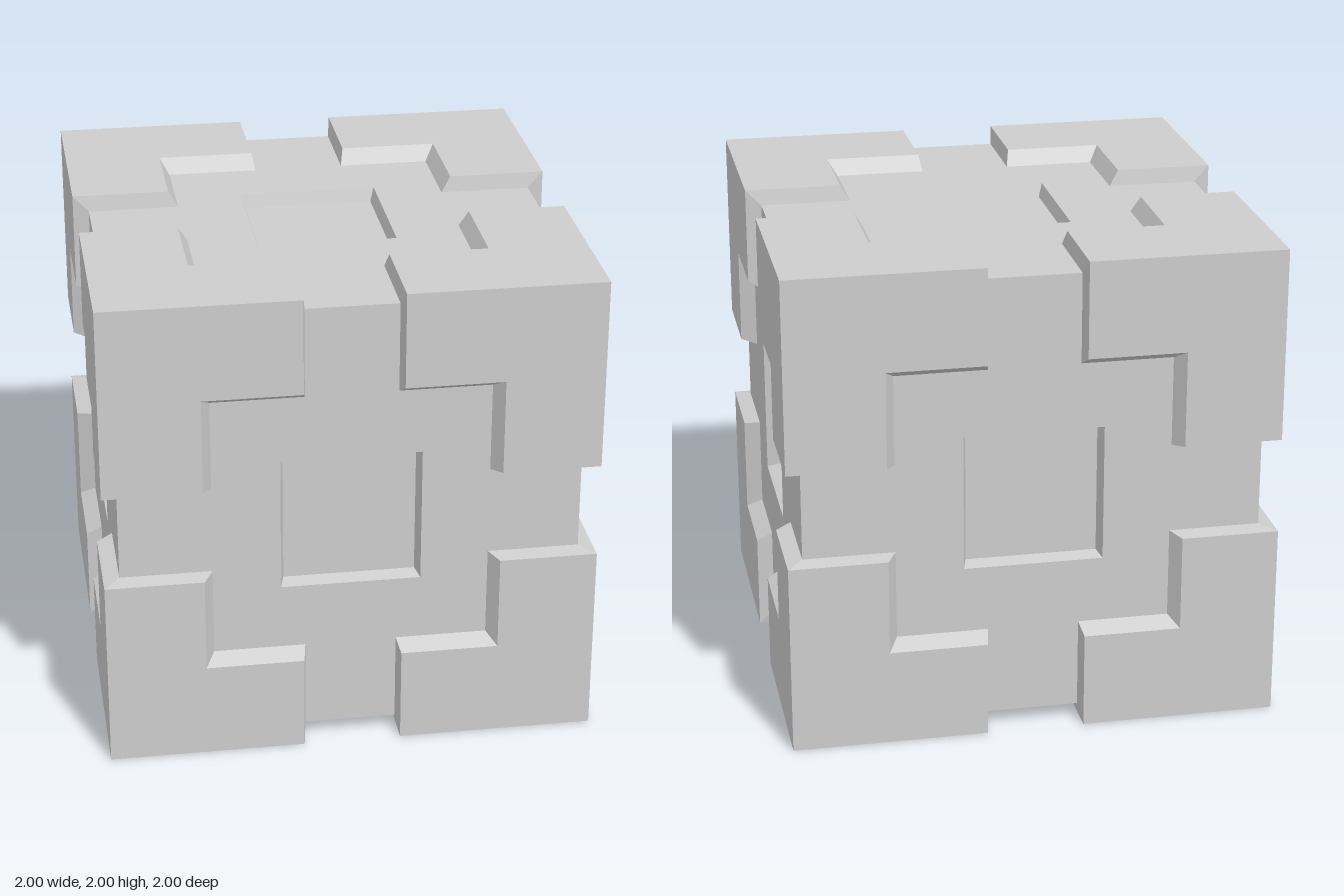
import * as THREE from 'three';
import { mergeGeometries } from 'three/addons/utils/BufferGeometryUtils.js';

// All sloped walls point at the cube's centre, so every outline is given on
// the plane z = 1 and scaled by the distance of its level from the centre.
const TOP = 1, PANEL = 0.935, POCKET = 0.88;
const toVectors = (pairs) => pairs.map(([x, y]) => new THREE.Vector2(x, y));

// Flat face at one level
function flatFace(outline, level, hole) {
  const shape = new THREE.Shape(outline);
  if (hole) shape.holes.push(new THREE.Path(hole));
  const g = new THREE.ShapeGeometry(shape).toNonIndexed();
  g.deleteAttribute('uv');
  g.deleteAttribute('normal');
  return g.translate(0, 0, 1).scale(level, level, level);
}

// Sloped walls along a path, with the solid on the path's left
function walls(path, low, high) {
  const pos = [];
  const put = (p, r) => pos.push(p.x * r, p.y * r, r);
  for (let i = 0; i < path.length - 1; i++) {
    const a = path[i], b = path[i + 1];
    put(a, low); put(b, low); put(b, high);
    put(a, low); put(b, high); put(a, high);
  }
  const g = new THREE.BufferGeometry();
  g.setAttribute('position', new THREE.Float32BufferAttribute(pos, 3));
  return g;
}

function join(parts) {
  const g = mergeGeometries(parts);
  g.computeVertexNormals();
  return g;
}

export function createModel() {
  const model = new THREE.Group();
  model.name = 'panelledCube';
  const grey = new THREE.MeshStandardMaterial({ color: 0xcccccc });
  grey.name = 'light grey';

  const add = (name, geometry, rx, ry) => {
    const mesh = new THREE.Mesh(geometry, grey);
    mesh.name = name;
    mesh.rotation.set(rx, ry, 0);
    mesh.position.y = 1;
    model.add(mesh);
  };

  // Raised corner: three L-shaped plates with their inner walls
  const plate = toVectors([[1, 0.2], [1, 1], [0.2, 1], [0.2, 0.6], [0.6, 0.6], [0.6, 0.2]]);
  const plateParts = [flatFace(plate, TOP), walls([...plate.slice(2), plate[0]], PANEL, TOP)];
  const diagonal = new THREE.Vector3(1, 1, 1).normalize();
  const cornerParts = [];
  for (let i = 0; i < 3; i++) {
    const turn = new THREE.Matrix4().makeRotationAxis(diagonal, i * Math.PI * 2 / 3);
    for (const part of plateParts) cornerParts.push(part.clone().applyMatrix4(turn));
  }
  const corner = join(cornerParts);

  // Cross-shaped panel with a square opening
  const cross = [];
  const quarter = toVectors([[1, 0.2], [0.6, 0.2], [0.6, 0.6], [0.2, 0.6], [0.2, 1]]);
  for (let i = 0; i < 4; i++) {
    for (const p of quarter) cross.push(p.clone().rotateAround(new THREE.Vector2(), i * Math.PI / 2));
  }
  const h = 0.305;
  const square = toVectors([[-h, -h], [-h, h], [h, h], [h, -h]]);
  const panel = join([flatFace(cross, PANEL, square)]);

  // Shallow square pocket in the middle of each panel
  const pocket = join([
    flatFace(square, POCKET),
    walls([...square, square[0]], POCKET, PANEL),
  ]);

  const q = Math.PI / 2;
  for (let i = 0; i < 4; i++) {
    add('upperCorner', corner, 0, i * q);
    add('lowerCorner', corner, Math.PI, i * q);
  }
  const sides = [[0, 0], [0, q], [0, 2 * q], [0, -q], [-q, 0], [q, 0]];
  for (const [rx, ry] of sides) {
    add('crossPanel', panel, rx, ry);
    add('centrePocket', pocket, rx, ry);
  }
  return model;
}
